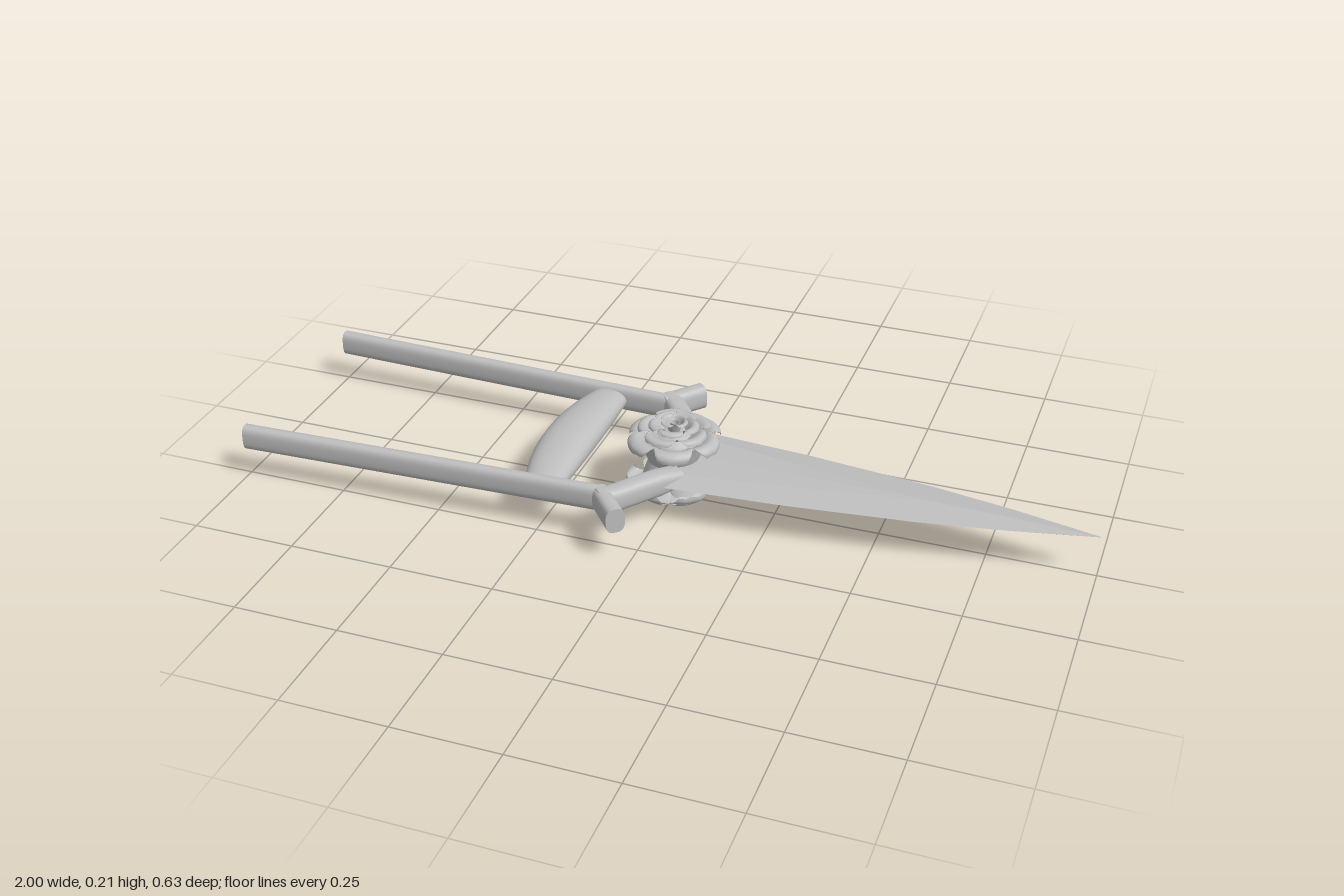
import * as THREE from 'three';

const steel = new THREE.MeshStandardMaterial({ color: 0xbebebe });
steel.name = 'steel';
steel.side = THREE.DoubleSide;
const MID = 0.103; // height of the symmetry plane

function mesh(geometry, name) {
  const m = new THREE.Mesh(geometry, steel);
  m.name = name;
  return m;
}

function buffer(pos, idx) {
  const g = new THREE.BufferGeometry();
  g.setAttribute('position', new THREE.Float32BufferAttribute(pos, 3));
  g.setIndex(idx);
  return g;
}

// Capped rounded bar through stations [x, z, halfWidth, halfHeight]
function bar(stations, power = 0.7, n = 24) {
  const a = stations[0], b = stations[stations.length - 1];
  const len = Math.hypot(b[0] - a[0], b[1] - a[1]);
  const dx = (b[0] - a[0]) / len, dz = (b[1] - a[1]) / len;
  const soft = (v) => Math.sign(v) * Math.abs(v) ** power;
  const pos = [], idx = [];
  const ring = ([x, z, w, h]) => {
    for (let j = 0; j < n; j++) {
      const t = (j / n) * Math.PI * 2, s = soft(Math.cos(t)) * w;
      pos.push(x + dz * s, soft(Math.sin(t)) * h, z - dx * s);
    }
  };
  stations.forEach(ring);
  for (let i = 0; i < stations.length - 1; i++) {
    for (let j = 0; j < n; j++) {
      const k = (j + 1) % n, p = i * n, q = p + n;
      idx.push(p + j, p + k, q + j, p + k, q + k, q + j);
    }
  }
  // flat caps on their own vertices
  [a, b].forEach((st, end) => {
    const base = pos.length / 3;
    ring(st);
    pos.push(st[0], 0, st[1]);
    for (let j = 0; j < n; j++) {
      const k = (j + 1) % n;
      idx.push(base + n, base + (end ? j : k), base + (end ? k : j));
    }
  });
  const g = buffer(pos, idx);
  g.computeVertexNormals();
  return g;
}

// Faceted blade: stations [x, edge, shoulder, shoulderHeight, ridgeHeight]
function bladeGeometry() {
  const stations = [
    [0.02, 0.135, 0.09, 0.012, 0.017],
    [0.3, 0.114, 0.05, 0.011, 0.0145],
    [0.6, 0.079, 0.002, 0.0115, 0.012],
    [0.8, 0.044, 0.001, 0.0065, 0.007],
    [1, 0.0005, 0.0002, 0.0003, 0.0005],
  ];
  const pos = [], idx = [], n = 8;
  for (const [x, e, s, hs, hr] of stations) {
    const section = [[e, 0], [s, hs], [0, hr], [-s, hs], [-e, 0], [-s, -hs], [0, -hr], [s, -hs]];
    for (const [z, y] of section) pos.push(x, y, z);
  }
  for (let i = 0; i < stations.length - 1; i++) {
    for (let j = 0; j < n; j++) {
      const k = (j + 1) % n, p = i * n, q = p + n;
      idx.push(p + j, q + j, p + k, p + k, q + j, q + k);
    }
  }
  for (let j = 1; j < n - 1; j++) idx.push(0, j, j + 1);
  const g = buffer(pos, idx).toNonIndexed();
  g.computeVertexNormals();
  return g;
}

// Curled petal: profile of [radius, height], swept over an angle, with a notched rim
function petalGeometry(profile, angle, spread, notch) {
  const curve = new THREE.SplineCurve(profile.map(([r, y]) => new THREE.Vector2(r, y)));
  const nu = 12, nv = 10, pos = [], idx = [];
  for (let i = 0; i <= nv; i++) {
    for (let j = 0; j <= nu; j++) {
      const v = i / nv, u = (j / nu) * 2 - 1;
      // rounded corners and a soft wave along the rim
      const reach = 1 - 0.3 * u ** 4 - notch * (0.5 - 0.5 * Math.cos(u * Math.PI * 3));
      const p = curve.getPoint(v * reach);
      const t = angle + u * spread * 0.5 * (1 - 0.22 * v ** 4);
      const r = p.x * (1 - 0.06 * u * u + 0.02 * u);
      pos.push(r * Math.cos(t), p.y, r * Math.sin(t));
    }
  }
  for (let i = 0; i < nv; i++) {
    for (let j = 0; j < nu; j++) {
      const p = i * (nu + 1) + j, q = p + nu + 1;
      idx.push(p, q, p + 1, p + 1, q, q + 1);
    }
  }
  const g = buffer(pos, idx);
  g.computeVertexNormals();
  return g;
}

function flower() {
  const group = new THREE.Group();
  // solid heart that carries the petals
  const core = [[0, 0], [0.055, 0], [0.06, 0.02], [0.066, 0.045], [0.055, 0.06], [0.025, 0.075], [0, 0.078]];
  group.add(mesh(new THREE.LatheGeometry(core.map((p) => new THREE.Vector2(...p)), 32), 'flowerHeart'));
  // [name, count, first angle, spread, notch, profile]
  const layers = [
    ['cupPetal', 4, Math.PI / 4, 1.65, 0.12, [[0.062, 0.0], [0.07, 0.02], [0.078, 0.045], [0.085, 0.064]]],
    ['outerPetal', 6, 0.2, 1.12, 0.08, [[0.05, 0.045], [0.075, 0.062], [0.095, 0.07], [0.112, 0.06], [0.112, 0.044]]],
    ['middlePetal', 5, 0.5, 1.35, 0.08, [[0.03, 0.058], [0.05, 0.073], [0.07, 0.086], [0.084, 0.084], [0.088, 0.074]]],
    ['innerPetal', 5, 0.1, 1.4, 0.08, [[0.02, 0.065], [0.034, 0.084], [0.046, 0.096], [0.058, 0.094], [0.061, 0.087]]],
    ['budPetal', 4, 0.4, 1.7, 0.06, [[0.012, 0.07], [0.019, 0.09], [0.024, 0.101], [0.032, 0.103], [0.035, 0.099]]],
    ['budCentre', 3, 0, 2.1, 0.04, [[0.005, 0.07], [0.009, 0.088], [0.011, 0.097], [0.014, 0.099]]],
  ];
  for (const [name, count, first, spread, notch, profile] of layers) {
    for (let i = 0; i < count; i++) {
      const angle = first + (i / count) * Math.PI * 2;
      group.add(mesh(petalGeometry(profile, angle, spread, notch), name));
    }
  }
  return group;
}

export function createModel() {
  const model = new THREE.Group();
  const body = new THREE.Group();
  body.name = 'punchDagger';
  body.position.y = MID;
  model.add(body);

  body.add(mesh(bladeGeometry(), 'blade'));

  // side rails, forked arms and outward spurs
  for (const s of [1, -1]) {
    body.add(mesh(bar([[-1, 0.253 * s, 0.018, 0.031], [-0.08, 0.221 * s, 0.018, 0.031]]), 'sideRail'));
    body.add(mesh(bar([[-0.1, 0.24 * s, 0.024, 0.031], [-0.07, 0.21 * s, 0.026, 0.031],
      [0.0, 0.117 * s, 0.028, 0.03], [0.035, 0.07 * s, 0.028, 0.02]]), 'forkArm'));
    body.add(mesh(bar([[-0.105, 0.215 * s, 0.022, 0.031], [-0.033, 0.3 * s, 0.023, 0.031]]), 'spur'));
  }

  // swelling cross grip, straight in front and bowed behind
  const grip = [];
  for (let i = 0; i <= 16; i++) {
    const t = (i / 16) * 2 - 1, bow = 1 - t * t;
    const back = -0.287 - 0.04 * bow, front = -0.2 + 0.003 * bow;
    grip.push([(back + front) / 2, t * 0.225, (front - back) / 2, 0.022 + 0.015 * bow]);
  }
  body.add(mesh(bar(grip, 0.9), 'grip'));

  // a flower on each face
  const top = flower();
  top.name = 'topFlower';
  const bottom = flower();
  bottom.name = 'bottomFlower';
  bottom.rotation.x = Math.PI;
  body.add(top, bottom);
  return model;
}
